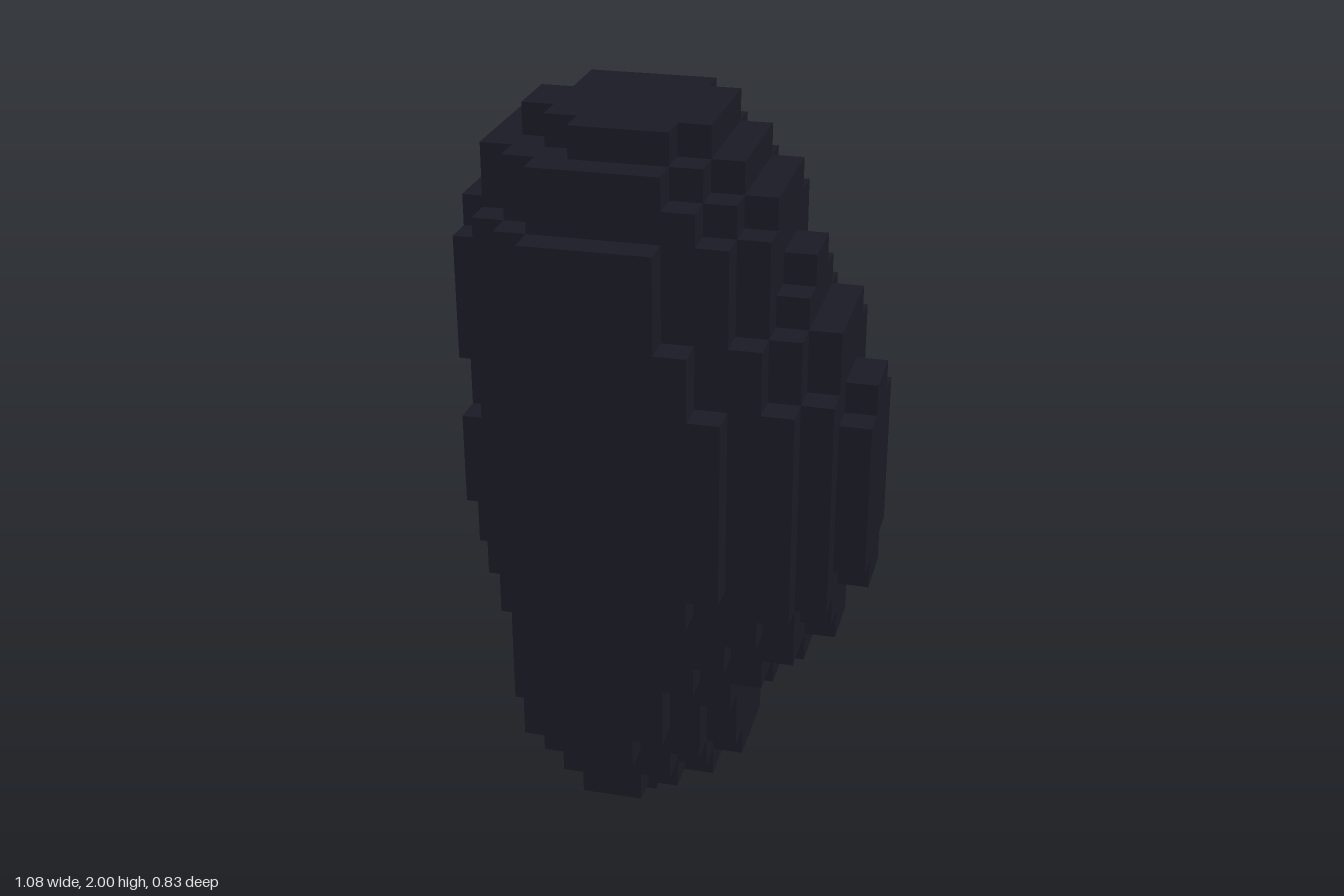
import * as THREE from 'three';
import { mergeGeometries } from 'three/addons/utils/BufferGeometryUtils.js';

const CELL = 1 / 12; // the body fills 13 x 24 x 10 cells

// Bands from the bottom up. Each tier is an ellipse snapped to cells:
// [height, left edge, right edge, front radius, back radius]
const bands = {
  foot: [[1, 4, 6, 1, 1], [1, 2.2, 7.8, 2.8, 2.8], [1, 2.2, 8.8, 2.9, 3.7]],
  lowerTaper: [[1, 1.3, 9, 3.7, 4], [1, 1.3, 9, 4, 4], [1, 1.3, 9.6, 4, 4],
    [1, 1.2, 10.6, 4.1, 4], [1, 1.1, 11.7, 4.3, 4], [1, 1, 12, 4.2, 5.04]],
  bulge: [[1, 0.4, 12.6, 4.7, 5.05], [1, 0.22, 13, 5, 5.2], [3, -0.1, 13, 5, 5.7],
    [1, 0.22, 13, 5, 5.2], [1, 0.2, 12.6, 4.8, 5.15]],
  upperTaper: [[1, 0.1, 12.3, 4.8, 5.1], [1, 0, 11.9, 4.95, 4.95],
    [1, 0, 10.9, 4.85, 4.85], [1, 0, 10.6, 4.85, 4.85], [1, 0.4, 10.3, 4.9, 4.9]],
  crown: [[1, 1, 10, 4.1, 4.65], [1, 1, 9, 3.8, 4.1], [1, 2.2, 8, 2.9, 3.02]],
};

// One tier as rows of blocks, each row one cell deep
function tierBlocks([height, left, right, front, back], y) {
  const centre = (left + right) / 2;
  const blocks = [];
  for (let row = 0; row < 10; row++) {
    const z = row - 4.5;
    const depth = z > 0 ? front : back;
    if (Math.abs(z) >= depth) continue;
    const half = ((right - left) / 2) * Math.sqrt(1 - (z / depth) ** 2);
    const x0 = Math.round(centre - half);
    const x1 = Math.round(centre + half);
    blocks.push(new THREE.BoxGeometry(x1 - x0, height, 1)
      .translate((x0 + x1) / 2 - 6.5, y + height / 2, z)
      .scale(CELL, CELL, CELL));
  }
  return blocks;
}

export function createModel() {
  const group = new THREE.Group();
  group.name = 'steppedBody';
  const dark = new THREE.MeshStandardMaterial({ color: 0x1b1b26 });
  dark.name = 'darkSlate';
  let y = 0;
  for (const [name, tiers] of Object.entries(bands)) {
    const blocks = [];
    for (const tier of tiers) {
      blocks.push(...tierBlocks(tier, y));
      y += tier[0];
    }
    const mesh = new THREE.Mesh(mergeGeometries(blocks), dark);
    mesh.name = name;
    group.add(mesh);
  }
  return group;
}
